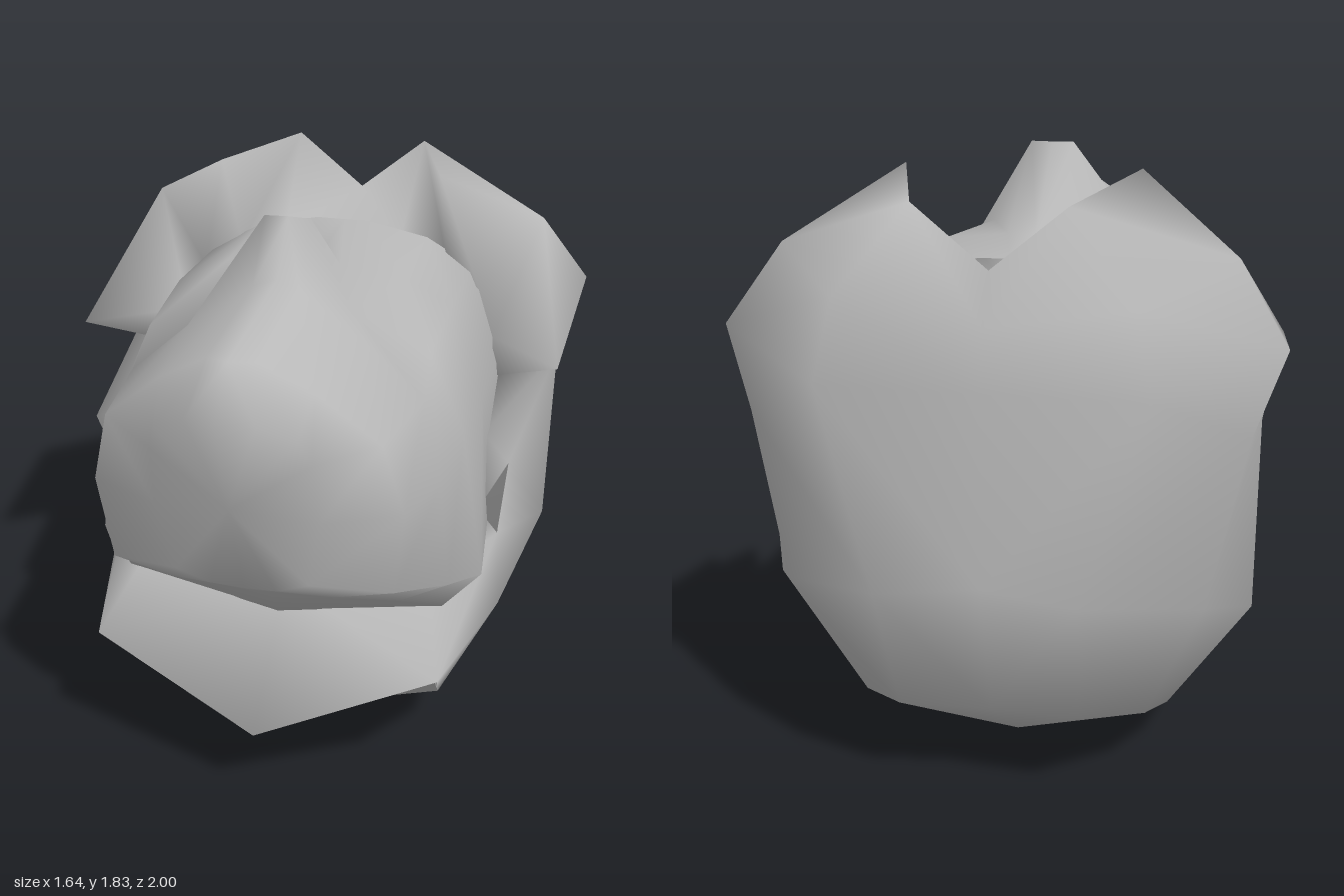
import * as THREE from 'three';
import { mergeVertices } from 'three/addons/utils/BufferGeometryUtils.js';

const grey = new THREE.MeshStandardMaterial({ color: 0xb8b8b8, side: THREE.DoubleSide });
grey.name = 'stone grey';

// Mirrors the polygons of the +x half and joins both halves with smooth normals
function mirroredMesh(name, polygons) {
  const out = [];
  const tri = (a, b, c) => {
    const area = new THREE.Triangle(new THREE.Vector3(...a), new THREE.Vector3(...b), new THREE.Vector3(...c)).getArea();
    if (area < 1e-6) return;
    out.push(...a, ...b, ...c);
    for (const p of [a, c, b]) out.push(p[0] === 0 ? 0 : -p[0], p[1], p[2]);
  };
  for (const p of polygons) {
    for (let i = 1; i < p.length - 1; i++) tri(p[0], p[i], p[i + 1]);
  }
  const soup = new THREE.BufferGeometry();
  soup.setAttribute('position', new THREE.Float32BufferAttribute(out, 3));
  const geometry = mergeVertices(soup, 1e-4);
  geometry.computeVertexNormals();
  const mesh = new THREE.Mesh(geometry, grey);
  mesh.name = name;
  return mesh;
}

// Quads between neighbouring rows of points
function loft(rows, flip = false) {
  const polys = [];
  for (let r = 0; r < rows.length - 1; r++) {
    const n = Math.min(rows[r].length, rows[r + 1].length);
    for (let s = 0; s < n - 1; s++) {
      const q = [rows[r][s], rows[r + 1][s], rows[r + 1][s + 1], rows[r][s + 1]];
      polys.push(flip ? q.reverse() : q);
    }
  }
  return polys;
}

// Head section from top centre to bottom centre; z runs evenly between its top, widest and bottom values
function section([zTop, zSide, zBottom], outline) {
  const last = outline.length - 1, middle = last - 2;
  return outline.map(([x, y], i) => [x, y, i <= middle
    ? THREE.MathUtils.lerp(zTop, zSide, i / middle)
    : THREE.MathUtils.lerp(zSide, zBottom, (i - middle) / 2)]);
}

export function createModel() {
  const group = new THREE.Group();

  // Jagged rim: spike tips and the notches between them
  const topTip = [0.36, 1.83, -0.26], topNotch = [0.67, 1.63, -0.53];
  const upperTip = [0.79, 1.3, -0.05], sideNotch = [0.75, 1.16, -0.52];
  const lowerTip = [0.68, 1.065, 0.17], lowNotch = [0.64, 0.715, 0];
  const lipCentre = [0, 0.29, 0.71], lipCorner = [0.55, 0.5, 0.58];

  // Shell rows from keel to top, each running from rear centre to front
  const bottom = [0, 0, -0.38];
  const keel = [bottom, bottom, bottom, bottom, [0, 0.05, 0.21], [0, 0.28, 0.44]];
  const low = [[0, 0.3, -0.8], [0.27, 0.31, -0.83], [0.44, 0.22, -0.6], [0.49, 0.155, -0.4], [0.49, 0.155, 0.15], [0.49, 0.375, 0.34]];
  const middle = [[0, 0.74, -0.92], [0.29, 0.74, -1], [0.62, 0.66, -0.76], [0.745, 0.55, -0.48], [0.67, 0.52, 0.12], lipCorner];
  const high = [[0, 1.31, -0.9], [0.47, 1.31, -0.9], [0.73, 1.16, -0.7], sideNotch];
  const shoulder = [[0, 1.48, -0.85], [0.42, 1.55, -0.86], [0.82, 1.4, -0.63], upperTip];
  const top = [[0, 1.62, -0.76], [0.22, 1.8, -0.75], topNotch];

  // Inner wall: from the rim, front lip to top centre, down to the head
  const rim = [lipCentre, lipCorner, lowNotch, lowerTip, sideNotch, upperTip, topNotch, topTip, top[1], top[0]];
  const inner = [
    [0, 0.62, 0.32], [0.47, 0.66, 0.28], [0.56, 0.74, -0.1], [0.56, 1, -0.15], [0.55, 1.1, -0.4],
    [0.54, 1.25, -0.38], [0.48, 1.4, -0.42], [0.36, 1.48, -0.46], [0.2, 1.54, -0.46], [0, 1.55, -0.43],
  ];
  group.add(mirroredMesh('brokenShell', [
    ...loft([keel, low, middle, high, shoulder, top]),
    [shoulder[2], topNotch, upperTip],
    [top[1], topTip, topNotch],
    [middle[3], sideNotch, lowerTip],
    [middle[3], lowerTip, lowNotch],
    [middle[3], lowNotch, middle[4]],
    [middle[4], lowNotch, lipCorner],
    [low[5], lipCorner, lipCentre, keel[5]],
    ...loft([rim, inner], true),
  ]));

  // Head: muzzle, brow, cheeks, crest, neck and nape
  const muzzle = section([1, 0.79, 0.77], [[0, 1.5], [0.1, 1.49], [0.2, 1.44], [0.23, 1.35], [0.24, 1.15], [0.2, 0.92], [0.1, 0.88], [0, 0.87]]);
  const brow = section([0.87, 0.69, 0.7], [[0, 1.63], [0.07, 1.62], [0.22, 1.53], [0.4, 1.38], [0.46, 1.15], [0.43, 0.87], [0.25, 0.83], [0, 0.82]]);
  const cheeks = section([0.38, 0.43, 0.47], [[0, 1.68], [0.07, 1.66], [0.27, 1.52], [0.45, 1.36], [0.51, 1.1], [0.55, 0.76], [0.4, 0.69], [0, 0.69]]);
  const crest = section([0.25, 0.28, 0.41], [[0, 1.83], [0.07, 1.83], [0.2, 1.56], [0.44, 1.45], [0.55, 1.2], [0.63, 0.72], [0.52, 0.625], [0, 0.565]]);
  const neck = section([-0.05, -0.05, 0], [[0, 1.58], [0.09, 1.58], [0.29, 1.56], [0.45, 1.48], [0.56, 1.18], [0.6, 0.72], [0.5, 0.62], [0, 0.54]]);
  const nape = section([-0.47, -0.47, -0.47], [[0, 1.59], [0.09, 1.59], [0.29, 1.55], [0.45, 1.46], [0.56, 1.15], [0.58, 0.72], [0.48, 0.62], [0, 0.54]]);
  const centre = [0, 1.2, 0.9];
  const face = muzzle.slice(0, -1).map((p, j) => [centre, muzzle[j + 1], p]);
  group.add(mirroredMesh('head', [...face, ...loft([muzzle, brow, cheeks, crest, neck, nape], true)]));

  return group;
}
